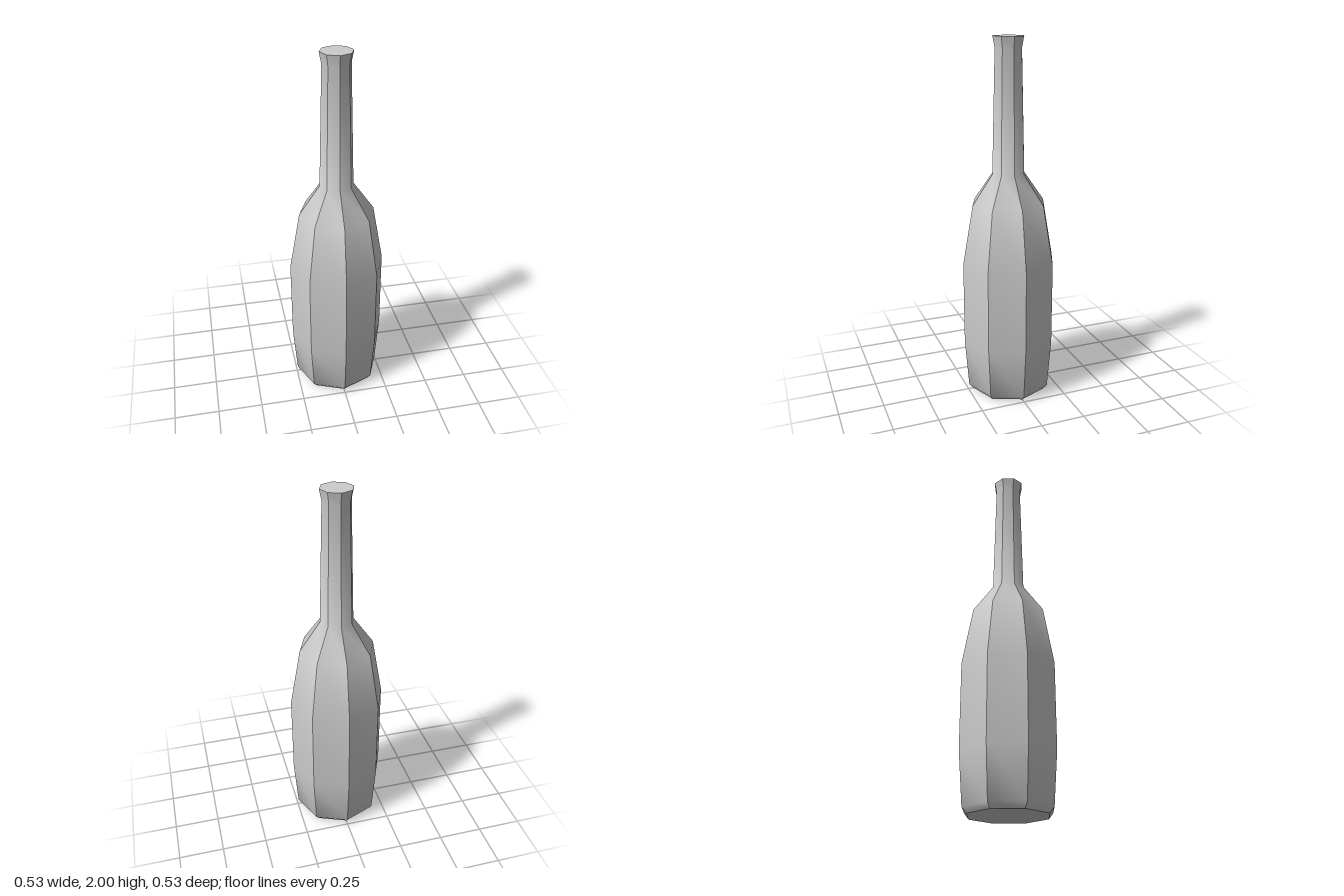
import * as THREE from 'three';
import { toCreasedNormals } from 'three/addons/utils/BufferGeometryUtils.js';

const SIDES = 8;

export function createModel() {
  const group = new THREE.Group();
  group.name = 'bottle';
  const material = new THREE.MeshStandardMaterial({ color: 0xcccccc });

  // Profile from base to lip: [radius, height]
  const profile = [
    [0.22, 0], [0.245, 0.03], [0.267, 0.31], [0.267, 0.78],
    [0.208, 1.11], [0.093, 1.275], [0.076, 1.94], [0.088, 2],
  ].map(([r, y]) => new THREE.Vector2(r, y));

  // Eight-sided wall, smooth along its height and sharp between the sides
  const wall = new THREE.LatheGeometry(profile, SIDES);
  const body = new THREE.Mesh(toCreasedNormals(wall, 0.61), material);
  body.name = 'bottleBody';
  group.add(body);

  // Flat end caps
  const addCap = (name, point, turn) => {
    const cap = new THREE.Mesh(new THREE.CircleGeometry(point.x, SIDES), material);
    cap.name = name;
    cap.rotation.x = turn;
    cap.position.y = point.y;
    group.add(cap);
  };
  addCap('base', profile[0], Math.PI / 2);
  addCap('mouth', profile[profile.length - 1], -Math.PI / 2);

  return group;
}
